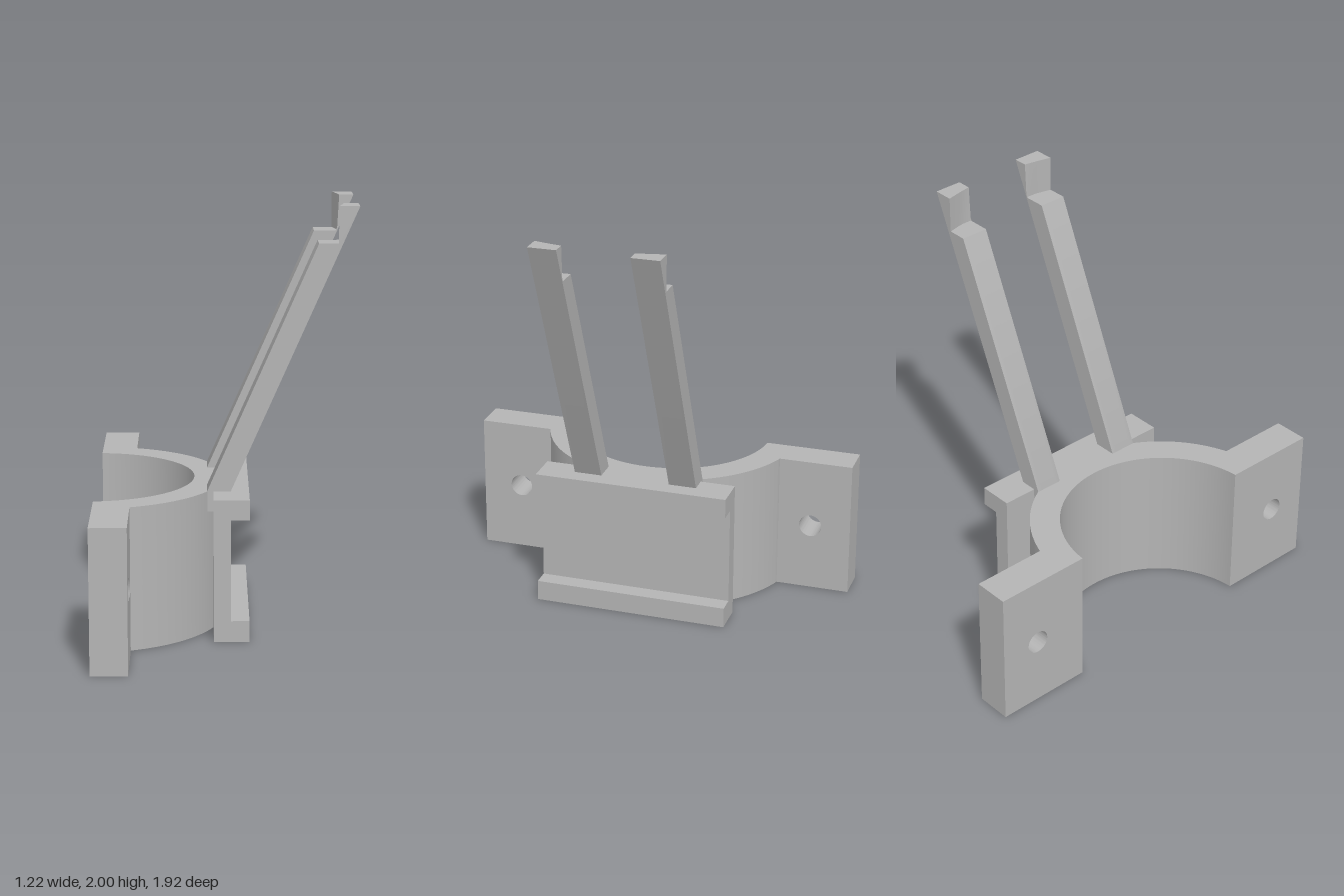
import * as THREE from 'three';
import { toCreasedNormals } from 'three/addons/utils/BufferGeometryUtils.js';

const H = 0.675;              // clamp height
const CX = -0.64;             // axis of the clamp bore
const R_IN = 0.49, R_OUT = 0.63;
const X_BACK = -0.61, X_FACE = -0.44;

function extrude(shape, depth, steps = 1) {
  return new THREE.ExtrudeGeometry(shape, { depth, steps, bevelEnabled: false, curveSegments: 48 });
}

function polygon(points) {
  return new THREE.Shape(points.map(([x, y]) => new THREE.Vector2(x, y)));
}

// Half-ring that wraps the bore, cut flat where the flanges meet it
function saddleGeometry() {
  const a = Math.acos((X_FACE - CX) / R_OUT);
  const b = Math.acos((X_BACK - CX) / R_IN);
  const z = R_OUT * Math.sin(a);
  const s = new THREE.Shape();
  s.moveTo(X_BACK, -z);
  s.lineTo(X_FACE, -z);
  s.absarc(CX, 0, R_OUT, -a, a, false);
  s.lineTo(X_BACK, z);
  s.absarc(CX, 0, R_IN, b, -b, true);
  s.closePath();
  return toCreasedNormals(extrude(s, H).rotateX(-Math.PI / 2), 0.5);
}

// Bolt flange with a round hole through x
function flangeGeometry() {
  const z0 = Math.sqrt(R_OUT ** 2 - (X_FACE - CX) ** 2);
  const s = polygon([[z0, 0], [0.96, 0], [0.96, H], [z0, H]]);
  const hole = new THREE.Path();
  hole.absarc(0.76, 0.34, 0.056, 0, Math.PI * 2, true);
  s.holes.push(hole);
  const g = extrude(s, X_FACE - X_BACK).rotateY(-Math.PI / 2).translate(X_FACE, 0, 0);
  return toCreasedNormals(g, 0.5);
}

// C-shaped channel on the +x side
function channelGeometry() {
  const s = polygon([[-0.06, 0], [0.105, 0], [0.105, 0.1], [0.02, 0.1],
    [0.02, 0.58], [0.105, 0.58], [0.105, H], [-0.06, H]]);
  return extrude(s, 0.95).translate(0, 0, -0.475);
}

// Leaning arm with a notched tip; the notch wall curves about the bore axis
function armGeometry(z0) {
  const wall = 0.51;
  const s = polygon([[-0.09, 0.58], [-0.025, 0.58], [0.02, H], [0.605, 2], [wall, 2],
    [wall, 1.83], [0.42, 1.83], [-0.09, H]]);
  const g = extrude(s, 0.135, 6).translate(0, 0, z0);
  const p = g.attributes.position;
  for (let i = 0; i < p.count; i++) {
    if (Math.abs(p.getX(i) - wall) > 1e-4) continue;
    const x = CX + Math.sqrt(1.19 ** 2 - p.getZ(i) ** 2);
    p.setX(i, p.getY(i) < 1.9 ? Math.min(x, 0.529) : x);
  }
  return toCreasedNormals(g, 0.5);
}

export function createModel() {
  const model = new THREE.Group();
  model.name = 'clampBracket';
  const grey = new THREE.MeshStandardMaterial({ color: 0xb4b4b4 });
  grey.name = 'plainGrey';

  const add = (name, geometry) => {
    const mesh = new THREE.Mesh(geometry, grey);
    mesh.name = name;
    model.add(mesh);
    return mesh;
  };

  add('saddle', saddleGeometry());
  add('channel', channelGeometry());
  add('leftArm', armGeometry(0.17));
  add('rightArm', armGeometry(-0.305));
  add('frontFlange', flangeGeometry());
  add('backFlange', flangeGeometry()).rotation.x = Math.PI;
  model.getObjectByName('backFlange').position.y = H;
  return model;
}
